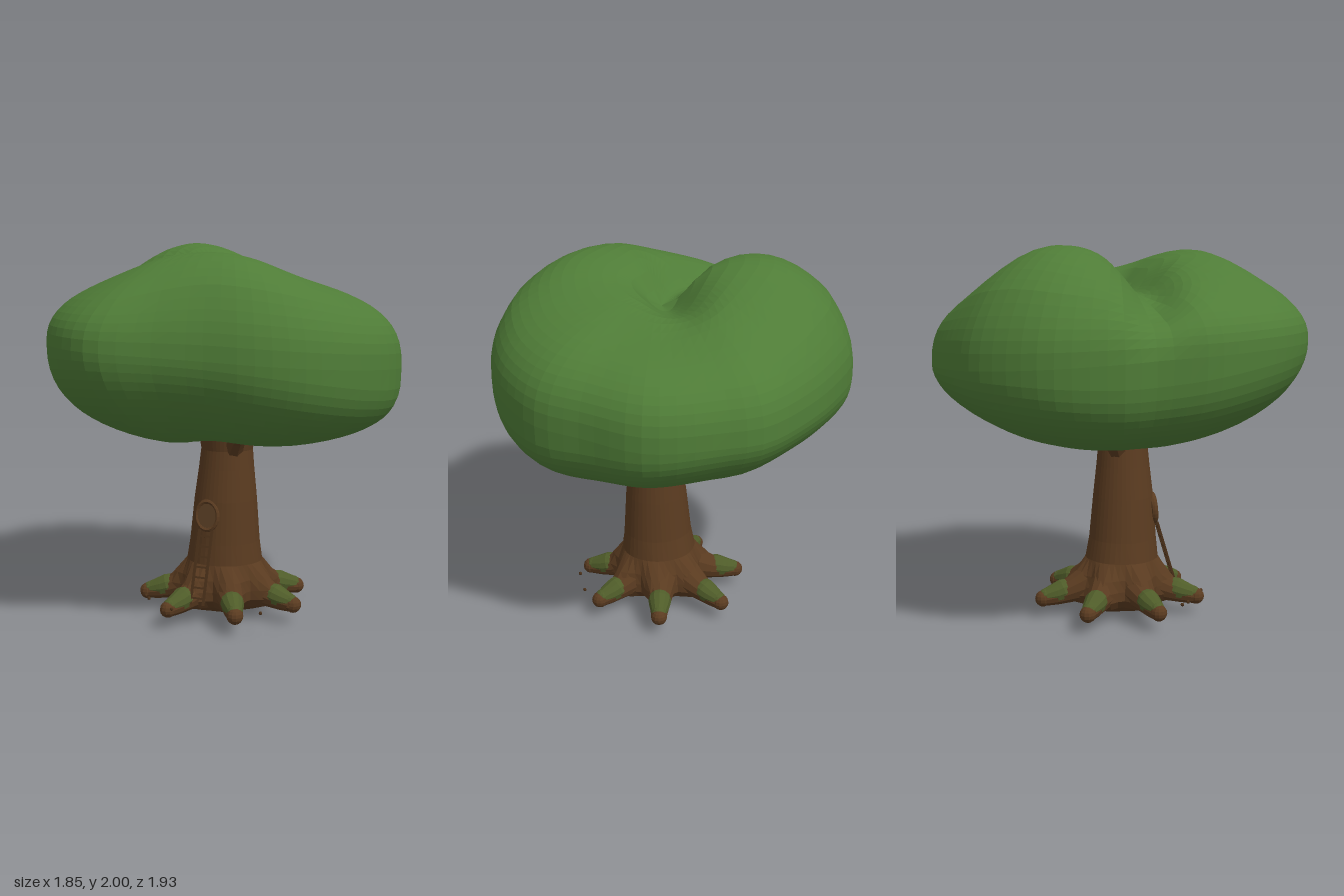
import * as THREE from 'three';

const mat = (name, color) => new THREE.MeshStandardMaterial({ name, color, flatShading: true });
const V = (x, y, z) => new THREE.Vector3(x, y, z);
const ROOT_ANGLE = 6.4 * Math.PI / 180;

// Tapered limb: a tube whose rings are rescaled around the path
function limb(points, radii, n = 10, sides = 9) {
  const path = new THREE.CatmullRomCurve3(points);
  const geo = new THREE.TubeGeometry(path, n, 1, sides);
  const pos = geo.attributes.position, v = new THREE.Vector3();
  for (let i = 0; i < pos.count; i++) {
    const t = Math.floor(i / (sides + 1)) / n;
    const c = path.getPointAt(t);
    const f = t * (radii.length - 1), k = Math.min(Math.floor(f), radii.length - 2);
    const r = THREE.MathUtils.lerp(radii[k], radii[k + 1], f - k);
    v.fromBufferAttribute(pos, i).sub(c).multiplyScalar(r).add(c);
    pos.setXYZ(i, v.x, v.y, v.z);
  }
  geo.computeVertexNormals();
  return geo;
}

// Distance from (x, z) to a polyline
function lineDistance(x, z, line) {
  let best = 9;
  for (let i = 0; i + 1 < line.length; i++) {
    const [ax, az] = line[i], dx = line[i + 1][0] - ax, dz = line[i + 1][1] - az;
    const t = THREE.MathUtils.clamp(((x - ax) * dx + (z - az) * dz) / (dx * dx + dz * dz), 0, 1);
    best = Math.min(best, Math.hypot(x - ax - dx * t, z - az - dz * t));
  }
  return best;
}

// Canopy: plan outline shrunk towards two poles, with two raised lobes and a curled valley
function canopyGeometry(cols = 72, rows = 36) {
  const outline = new THREE.CatmullRomCurve3([
    [0.92, -0.1], [0.885, 0.2], [0.79, 0.42], [0.65, 0.6], [0.45, 0.72], [0.2, 0.79], [0, 0.86],
    [-0.28, 0.965], [-0.45, 0.92], [-0.63, 0.78], [-0.76, 0.6], [-0.86, 0.35], [-0.88, 0.07],
    [-0.925, -0.12], [-0.87, -0.48], [-0.62, -0.78], [-0.4, -0.88], [-0.1, -0.95], [0.22, -0.96],
    [0.38, -0.88], [0.7, -0.66], [0.83, -0.35],
  ].map(([x, z]) => V(x, 0, z)), true);
  const valley = [[0.12, -0.42], [0.08, -0.22], [0, -0.02], [-0.18, 0.06], [-0.45, 0.09], [-0.95, 0.05]];
  const bump = (x, z, cx, cz, rx, rz) => Math.exp(-(((x - cx) / rx) ** 2) - ((z - cz) / rz) ** 2);
  const verts = [], index = [];
  for (let i = 0; i <= rows; i++) {
    const v = (i / rows - 0.5) * Math.PI, s = Math.cos(v), h = Math.abs(Math.sin(v));
    for (let j = 0; j < cols; j++) {
      const o = outline.getPointAt(j / cols);
      let x = o.x * s, z = o.z * s, y;
      const mid = 1.43 + 0.06 * o.z - 0.05 * o.x;
      if (v > 0) {
        const rise = Math.min(1, h * 2);
        y = mid + (1.865 - mid) * h ** 0.75;
        y += rise * (0.19 * bump(x, z, -0.41, -0.4, 0.42, 0.42) + 0.16 * bump(x, z, 0.15, 0.5, 0.5, 0.34)
          - 0.05 * bump(x, z, 0.4, -0.4, 0.3, 0.3));
        const fade = THREE.MathUtils.smoothstep(z, -0.55, -0.02) * rise;
        const depth = 0.17 * fade * Math.exp(-((lineDistance(x, z, valley) / 0.14) ** 2));
        y -= depth * h;
        x *= 1 - depth * s * 0.4;
      } else {
        const p = THREE.MathUtils.lerp(0.6, 1.1, o.z * o.z / o.lengthSq());
        y = mid - (mid - 0.935) * h ** p + 0.08 * bump(x, z, 0.02, 0.1, 0.2, 0.2);
      }
      verts.push(x, y, z);
      if (i < rows) {
        const a = i * cols + j, b = i * cols + (j + 1) % cols;
        index.push(a, a + cols, b, b, a + cols, b + cols);
      }
    }
  }
  const geo = new THREE.BufferGeometry();
  geo.setAttribute('position', new THREE.Float32BufferAttribute(verts, 3));
  geo.setIndex(index);
  geo.computeVertexNormals();
  return geo;
}

// Trunk: lathe with a rounded underside and a foot scalloped between the roots
function trunkGeometry() {
  const profile = [[0, 0], [0.08, 0.015], [0.17, 0.045], [0.24, 0.075], [0.285, 0.12], [0.283, 0.17],
    [0.255, 0.23], [0.206, 0.31], [0.19, 0.42], [0.17, 0.65], [0.15, 0.82], [0.14, 0.92],
    [0.15, 0.98], [0.18, 1.08], [0, 1.1]].map(([r, y]) => new THREE.Vector2(r, y));
  const geo = new THREE.LatheGeometry(profile, 42);
  const p = geo.attributes.position;
  for (let i = 0; i < p.count; i++) {
    const x = p.getX(i), y = p.getY(i), z = p.getZ(i);
    const foot = THREE.MathUtils.smoothstep(y, 0, 0.08) * (1 - THREE.MathUtils.smoothstep(y, 0.14, 0.33));
    const k = 1 + 0.17 * foot * Math.cos(7 * (Math.atan2(z, x) - ROOT_ANGLE));
    p.setXYZ(i, x * k - 0.02 + 0.03 * y, y, z * k * 0.96 + 0.02 + 0.025 * Math.min(1, y * 2));
  }
  geo.computeVertexNormals();
  return geo;
}

export function createModel() {
  const tree = new THREE.Group();
  tree.name = 'treeHouse';
  const leaf = mat('leaf green', 0x4f7c37);
  const bark = mat('bark brown', 0x5a3b20);
  const moss = mat('moss green', 0x4f5c29);
  const wood = mat('door wood', 0x5b4025);
  const dark = mat('ladder wood', 0x4a3019);

  const add = (name, geo, material, parent = tree) => {
    const m = new THREE.Mesh(geo, material);
    m.name = name;
    parent.add(m);
    return m;
  };

  add('canopy', canopyGeometry(), leaf);
  add('trunk', trunkGeometry(), bark);

  // Short branch stubs under the leaves
  for (const a of [45, 205]) {
    const c = Math.cos(a * Math.PI / 180), s = Math.sin(a * Math.PI / 180);
    add('branchStub', limb([V(0.08 * c, 0.9, 0.04 + 0.08 * s), V(0.14 * c, 0.97, 0.04 + 0.14 * s),
      V(0.22 * c, 1.05, 0.04 + 0.22 * s)], [0.06, 0.05, 0.045], 5, 8), bark);
  }

  // Seven roots with rounded tips, each with moss over its upper half
  for (let i = 0; i < 7; i++) {
    const root = new THREE.Group();
    root.name = 'root';
    root.position.set(-0.02, 0, 0.018);
    root.rotation.y = -(ROOT_ANGLE + i * Math.PI * 2 / 7);
    tree.add(root);
    add('rootLimb', limb([V(0.12, 0.2, 0), V(0.24, 0.15, 0), V(0.34, 0.117, 0), V(0.425, 0.102, 0)],
      [0.11, 0.085, 0.058, 0.042], 10, 12), bark, root);
    const tip = add('rootTip', new THREE.SphereGeometry(0.044, 12, 8), bark, root);
    tip.position.set(0.428, 0.102, 0);
    add('mossCover', limb([V(0.26, 0.15, 0), V(0.3, 0.142, 0), V(0.35, 0.127, 0), V(0.41, 0.115, 0)],
      [0.045, 0.064, 0.056, 0.042], 8, 12), moss, root);
    const cap = add('mossCap', new THREE.SphereGeometry(0.042, 12, 8), moss, root);
    cap.position.set(0.41, 0.115, 0);
  }

  // Oval door with a raised frame
  const door = new THREE.Group();
  door.name = 'door';
  door.position.set(-0.033, 0.575, 0.2);
  door.rotation.x = -0.09;
  tree.add(door);
  const panel = add('doorPanel', new THREE.CylinderGeometry(0.06, 0.06, 0.03, 20), wood, door);
  panel.rotation.x = Math.PI / 2;
  panel.scale.z = 1.27;
  const frame = add('doorFrame', new THREE.TorusGeometry(0.062, 0.012, 8, 24), bark, door);
  frame.scale.set(1, 1.22, 1.5);
  frame.position.z = 0.004;

  // Ladder leaning on the trunk below the door
  const ladder = new THREE.Group();
  ladder.name = 'ladder';
  ladder.position.set(-0.035, 0.31, 0.28);
  ladder.rotation.x = -0.29;
  tree.add(ladder);
  for (const side of [-1, 1]) {
    add('ladderRail', new THREE.BoxGeometry(0.012, 0.4, 0.012), dark, ladder).position.x = side * 0.037;
  }
  for (let i = 0; i < 7; i++) {
    add('ladderRung', new THREE.BoxGeometry(0.074, 0.01, 0.01), dark, ladder).position.y = -0.165 + i * 0.055;
  }

  // Tiny pebbles around the roots
  for (const [x, z] of [[0.42, 0.18], [0.33, 0.33], [-0.12, 0.46], [-0.32, 0.34], [-0.36, 0.3]]) {
    add('pebble', new THREE.SphereGeometry(0.01, 6, 4), dark).position.set(x, 0.12, z);
  }
  return tree;
}
